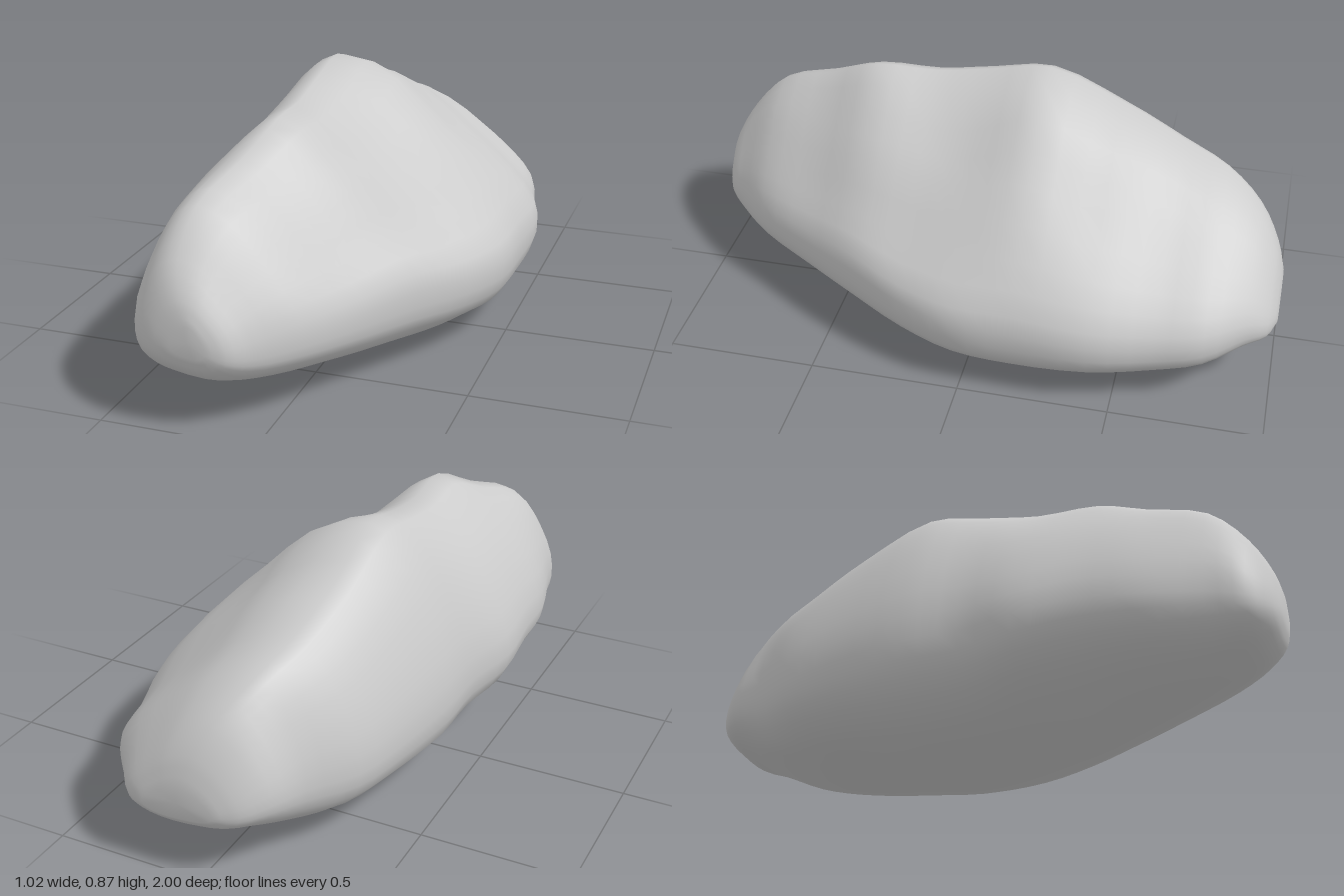
import * as THREE from 'three';

// Cross-sections from back to front:
// z, min x, max x, bottom y, top y, ridge x, left-shoulder and right-shoulder fullness
const SECTIONS = [
  [-1.00, -0.05, 0.19, 0.20, 0.31, 0.06, 1.0, 1.0],
  [-0.97, -0.13, 0.26, 0.165, 0.41, 0.03, 1.0, 1.0],
  [-0.90, -0.20, 0.32, 0.14, 0.52, -0.03, 1.0, 1.0],
  [-0.78, -0.25, 0.41, 0.09, 0.61, -0.09, 1.0, 1.0],
  [-0.62, -0.35, 0.45, 0.05, 0.67, -0.13, 1.0, 1.0],
  [-0.42, -0.41, 0.505, 0.03, 0.76, -0.16, 1.0, 1.0],
  [-0.17, -0.455, 0.505, 0.00, 0.865, -0.16, 1.0, 0.99],
  [0.03, -0.46, 0.49, 0.01, 0.835, -0.16, 1.0, 0.96],
  [0.22, -0.505, 0.42, 0.03, 0.81, -0.15, 0.98, 0.94],
  [0.42, -0.50, 0.31, 0.055, 0.815, -0.14, 0.98, 0.94],
  [0.60, -0.49, 0.20, 0.08, 0.73, -0.19, 1.0, 0.96],
  [0.80, -0.44, 0.08, 0.115, 0.645, -0.25, 1.02, 1.0],
  [0.92, -0.41, -0.03, 0.15, 0.52, -0.26, 1.03, 1.02],
  [0.98, -0.34, -0.09, 0.20, 0.42, -0.23, 1.02, 1.02],
  [1.00, -0.26, -0.15, 0.25, 0.35, -0.20, 1.0, 1.0],
];

// Outline template: [side offset from ridge (-1 left, 1 right), height fraction]
const OUTLINE = [
  [0.32, 0], [-0.15, 0.035], [-0.56, 0.085], [-0.90, 0.19], [-1, 0.33], [-0.92, 0.53],
  [-0.67, 0.75], [-0.35, 0.92], [0, 1], [0.32, 0.91], [0.57, 0.75],
  [0.83, 0.55], [0.98, 0.38], [1, 0.235], [0.94, 0.13], [0.68, 0.03],
];

const RING = 32;
const STEPS = 3;

// One closed, rounded ring for a cross-section
function ring([z, minX, maxX, bottom, top, ridge, leftFull, rightFull]) {
  const points = OUTLINE.map(([side, up]) => {
    const reach = side < 0 ? ridge - minX : maxX - ridge;
    const full = up > 0.5 && side !== 0 ? (side < 0 ? leftFull : rightFull) : 1;
    const x = ridge + side * full * reach;
    return new THREE.Vector3(x, bottom + up * full * (top - bottom), z);
  });
  const curve = new THREE.CatmullRomCurve3(points, true);
  return Array.from({ length: RING }, (_, j) => curve.getPoint(j / RING));
}

// Shallow lumps and hollows on the upper surface: x, z, radius, height
const LUMPS = [
  [0.0, -0.5, 0.13, 0.02], [0.04, -0.2, 0.12, 0.018], [0.18, -0.3, 0.1, -0.018],
  [0.07, 0.1, 0.12, -0.02], [-0.32, 0.42, 0.12, -0.01],
];

function weather(p) {
  const fade = THREE.MathUtils.smoothstep(p.y, 0.3, 0.55);
  for (const [x, z, radius, height] of LUMPS) {
    p.y += fade * height * Math.exp(-((p.x - x) ** 2 + (p.z - z) ** 2) / radius ** 2);
  }
}

function stoneGeometry() {
  const rings = SECTIONS.map(ring);
  const rows = (SECTIONS.length - 1) * STEPS;
  const positions = [];
  const index = [];

  // Smooth curves along the length through matching ring points
  const rails = Array.from({ length: RING }, (_, j) =>
    new THREE.CatmullRomCurve3(rings.map((r) => r[j])));
  for (let i = 0; i <= rows; i++) {
    for (const rail of rails) {
      const p = rail.getPoint(i / rows);
      weather(p);
      positions.push(p.x, p.y, p.z);
    }
  }
  for (let i = 0; i < rows; i++) {
    for (let j = 0; j < RING; j++) {
      const a = i * RING + j;
      const b = i * RING + (j + 1) % RING;
      index.push(a, a + RING, b, b, a + RING, b + RING);
    }
  }

  // Close the blunt ends
  for (const [row, z] of [[0, -1], [rows, 1]]) {
    const [, minX, maxX, bottom, top] = SECTIONS[row / STEPS];
    const centre = positions.length / 3;
    positions.push((minX + maxX) / 2, (bottom + top) / 2, z);
    for (let j = 0; j < RING; j++) {
      const a = row * RING + j;
      const b = row * RING + (j + 1) % RING;
      if (row === 0) index.push(centre, a, b);
      else index.push(centre, b, a);
    }
  }

  const geometry = new THREE.BufferGeometry();
  geometry.setAttribute('position', new THREE.Float32BufferAttribute(positions, 3));
  geometry.setIndex(index);
  geometry.computeVertexNormals();
  return geometry;
}

export function createModel() {
  const group = new THREE.Group();
  group.name = 'rock';
  const stone = new THREE.Mesh(stoneGeometry(), new THREE.MeshStandardMaterial({ color: 0xcccccc }));
  stone.name = 'boulder';
  group.add(stone);
  return group;
}
